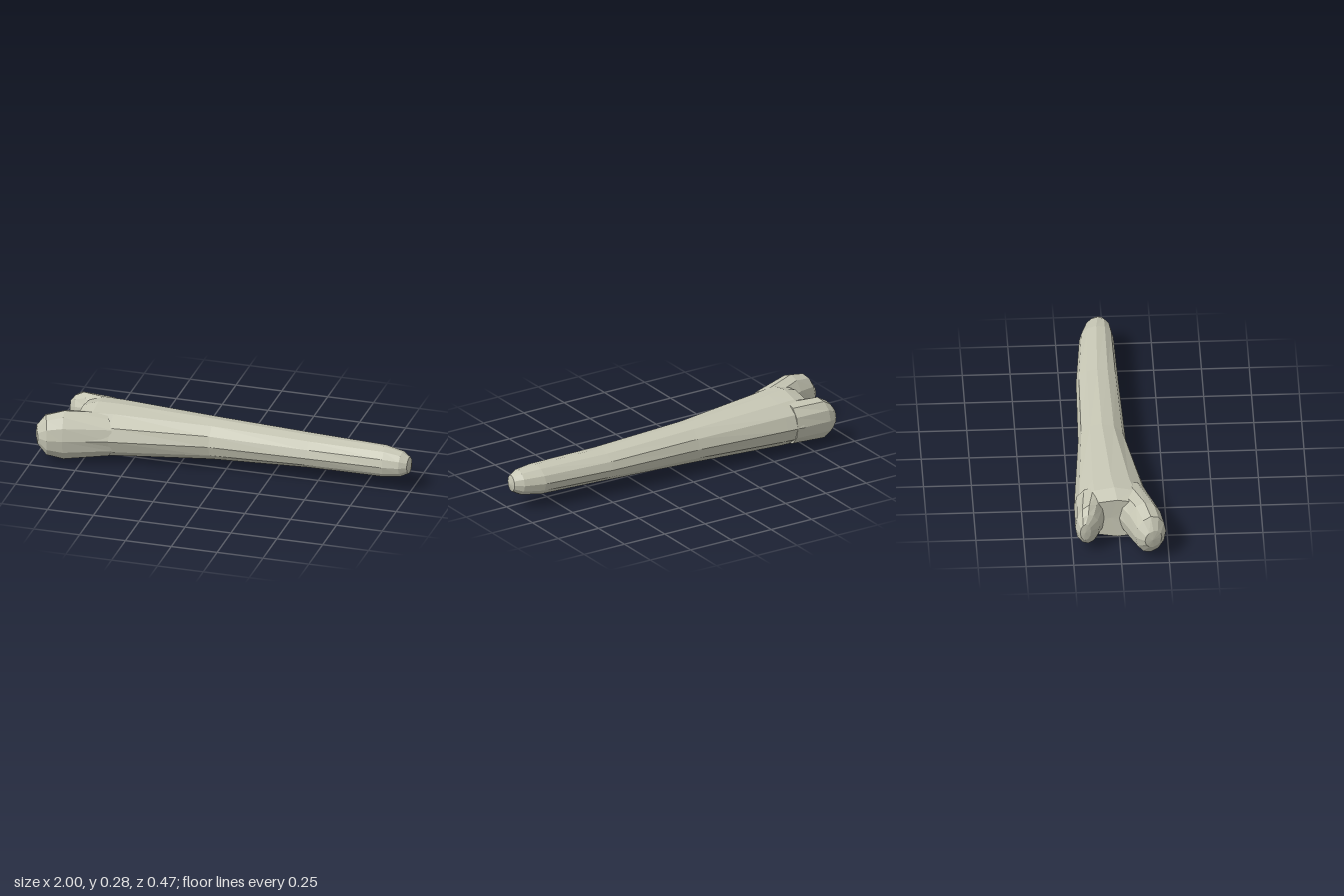
import * as THREE from 'three';

const SIDES = 12;
const MID_Y = 0.142;

// Faceted loft running towards -x. Each row: [x, z] of the front edge,
// [x, z] of the back edge, half height. Both ends are closed by fans.
function loft(rows, startTip, endTip) {
  const rings = rows.map(([xf, zf, xb, zb, h]) => {
    const cx = (xf + xb) / 2, cz = (zf + zb) / 2;
    const ring = [];
    for (let i = 0; i < SIDES; i++) {
      const a = (i / SIDES) * Math.PI * 2, c = Math.cos(a);
      ring.push([cx + c * (xf - cx), MID_Y + h * Math.sin(a), cz + c * (zf - cz)]);
    }
    return ring;
  });
  const pos = [];
  const tri = (a, b, c) => pos.push(...a, ...b, ...c);
  const last = rings[rings.length - 1];
  for (let i = 0; i < SIDES; i++) {
    const j = (i + 1) % SIDES;
    for (let k = 0; k + 1 < rings.length; k++) {
      const A = rings[k], B = rings[k + 1];
      tri(A[i], A[j], B[j]);
      tri(A[i], B[j], B[i]);
    }
    tri(startTip, rings[0][j], rings[0][i]);
    tri(endTip, last[i], last[j]);
  }
  const g = new THREE.BufferGeometry();
  g.setAttribute('position', new THREE.Float32BufferAttribute(pos, 3));
  g.computeVertexNormals();
  return g;
}

export function createModel() {
  const group = new THREE.Group();
  group.name = 'bone';
  const bone = new THREE.MeshStandardMaterial({ color: 0xc6c6b4, flatShading: true });
  bone.name = 'pale bone';
  const add = (name, geometry) => {
    const mesh = new THREE.Mesh(geometry, bone);
    mesh.name = name;
    group.add(mesh);
  };

  // Tapering shaft with a rounded narrow end
  add('shaft', loft([
    [0.985, 0.012, 0.992, -0.066, 0.045],
    [0.945, 0.033, 0.95, -0.1, 0.068],
    [0.86, 0.045, 0.84, -0.135, 0.082],
    [0.45, 0.052, 0.45, -0.17, 0.086],
    [-0.08, 0.065, -0.08, -0.185, 0.109],
    [-0.6, 0.155, -0.6, -0.228, 0.137],
    [-0.71, 0.186, -0.7, -0.235, 0.141],
    [-0.79, 0.19, -0.78, -0.215, 0.115],
  ], [1, MID_Y, -0.027], [-0.78, MID_Y, -0.05]));

  // Larger knuckle, swept forward
  add('frontKnuckle', loft([
    [-0.58, 0.145, -0.7, -0.04, 0.12],
    [-0.83, 0.222, -0.86, 0.035, 0.137],
    [-0.91, 0.236, -0.965, 0.075, 0.112],
    [-0.965, 0.212, -1, 0.122, 0.05],
  ], [-0.64, MID_Y, 0.05], [-0.99, MID_Y, 0.165]));

  // Smaller knuckle at the back
  add('backKnuckle', loft([
    [-0.66, -0.03, -0.66, -0.232, 0.115],
    [-0.79, -0.085, -0.86, -0.236, 0.118],
    [-0.86, -0.11, -0.89, -0.227, 0.09],
    [-0.9, -0.155, -0.91, -0.212, 0.05],
  ], [-0.66, MID_Y, -0.13], [-0.91, MID_Y, -0.185]));

  return group;
}
